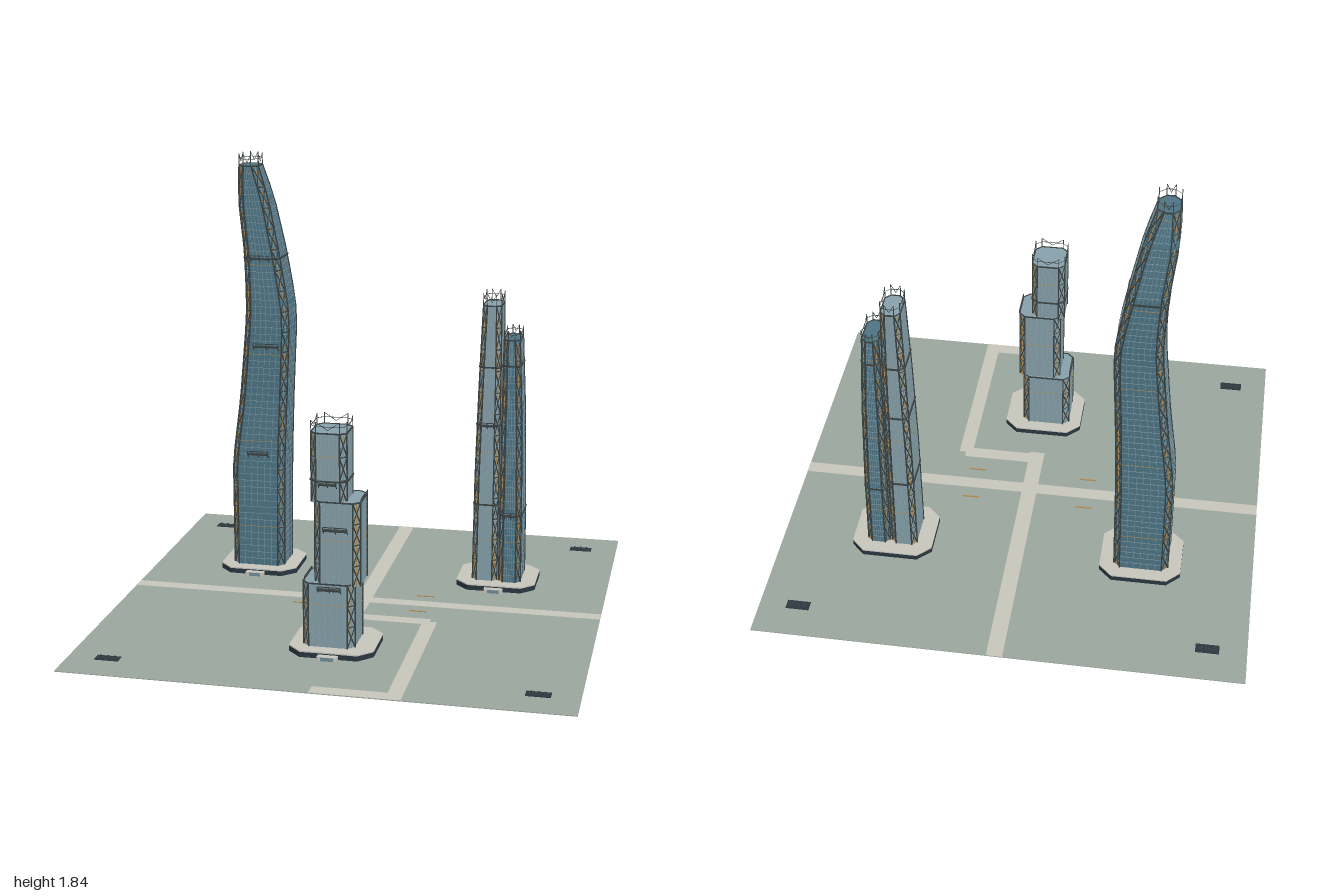
import * as THREE from 'three';
import { mergeGeometries } from 'three/addons/utils/BufferGeometryUtils.js';

const mat = (color, extra = {}) => new THREE.MeshStandardMaterial({ color, ...extra });
const M = {
  ground: mat(0x9aa59d), road: mat(0xc5c5ba), navy: mat(0x2a3640), stone: mat(0xc6c5bc),
  blue: mat(0x4d7384), pale: mat(0x86a0a9), line: mat(0x7f99a3), frame: mat(0x39403f),
  amber: mat(0xb08a50), glow: mat(0x6d8b99),
};
const V = (x, y, z) => new THREE.Vector3(x, y, z);

function add(parent, name, geometry, material) {
  const mesh = new THREE.Mesh(geometry, material);
  mesh.name = name;
  parent.add(mesh);
  return mesh;
}
const box = (x0, x1, y0, y1, z0, z1) =>
  new THREE.BoxGeometry(x1 - x0, y1 - y0, z1 - z0).translate((x0 + x1) / 2, (y0 + y1) / 2, (z0 + z1) / 2);

// Thin square bar between two points
function bar(a, b, t) {
  const d = b.clone().sub(a);
  const q = new THREE.Quaternion().setFromUnitVectors(V(0, 1, 0), d.clone().normalize());
  const mid = a.clone().add(b).multiplyScalar(0.5);
  return new THREE.BoxGeometry(t, d.length(), t).applyQuaternion(q).translate(mid.x, mid.y, mid.z);
}

// Chamfered rectangle, anticlockwise from above, starting at the front left
function ring(y, x0, x1, z0, z1, c) {
  return [[x0 + c, z1], [x1 - c, z1], [x1, z1 - c], [x1, z0 + c],
    [x1 - c, z0], [x0 + c, z0], [x0, z0 + c], [x0, z1 - c]].map(([x, z]) => V(x, y, z));
}

// Levels are [y, x0, x1, z0, z1]; interpolate the section at any height
function section(levels, y, c, grow = 0) {
  let i = 0;
  while (i < levels.length - 2 && y > levels[i + 1][0]) i++;
  const a = levels[i], b = levels[i + 1], k = (y - a[0]) / (b[0] - a[0]);
  const [, x0, x1, z0, z1] = a.map((v, j) => v + (b[j] - v) * k);
  return ring(y, x0 - grow, x1 + grow, z0 - grow, z1 + grow, c);
}

// Skin through a stack of rings, with a roof on the last
function loft(rings) {
  const p = [];
  const tri = (...vs) => vs.forEach((v) => p.push(v.x, v.y, v.z));
  for (let r = 0; r < rings.length - 1; r++) {
    for (let i = 0; i < 8; i++) {
      const j = (i + 1) % 8, a = rings[r], b = rings[r + 1];
      tri(a[i], a[j], b[j]);
      tri(a[i], b[j], b[i]);
    }
  }
  const top = rings[rings.length - 1];
  for (let i = 1; i < 7; i++) tri(top[0], top[i], top[i + 1]);
  const g = new THREE.BufferGeometry();
  g.setAttribute('position', new THREE.Float32BufferAttribute(p, 3));
  g.computeVertexNormals();
  return g;
}

function tower(parent, name, levels, o) {
  const g = new THREE.Group();
  g.name = name;
  parent.add(g);
  const c = o.chamfer, y0 = levels[0][0], y1 = levels[levels.length - 1][0];
  add(g, 'glassBody', loft(levels.map((l) => ring(...l, c))), o.glass);

  // Floor lines, with an amber one now and then
  const floors = [], amber = [];
  const n = Math.round((y1 - y0) / 0.03);
  for (let f = 1; f < n; f++) {
    const r = section(levels, y0 + (y1 - y0) * f / n, c, 0.0005);
    const list = f % 13 === 6 ? amber : floors;
    r.forEach((p, i) => list.push(bar(p, r[(i + 1) % 8], 0.0018)));
  }
  // Vertical mullions on the four broad faces, and edge posts with cross bracing on the corners
  const mullions = [], braces = [];
  const steps = Math.max(1, Math.round((y1 - y0) / 0.09));
  for (let s = 0; s < steps; s++) {
    const a = section(levels, y0 + (y1 - y0) * s / steps, c, 0.001);
    const b = section(levels, y0 + (y1 - y0) * (s + 1) / steps, c, 0.001);
    for (let i = 0; i < 8; i++) {
      const j = (i + 1) % 8;
      braces.push(bar(a[i], b[i], 0.005));
      if (i % 2) {
        braces.push(bar(a[i], b[j], 0.004), bar(a[j], b[i], 0.004), bar(b[i], b[j], 0.004));
        amber.push(bar(a[i].clone().lerp(a[j], 0.5), b[i].clone().lerp(b[j], 0.5), 0.003));
      } else {
        for (let m = 1; m < 6; m++) {
          mullions.push(bar(a[i].clone().lerp(a[j], m / 6), b[i].clone().lerp(b[j], m / 6), 0.0014));
        }
      }
    }
  }
  // Rim and open crown of posts and crossed stays
  const rim = section(levels, y1, c, 0.001);
  rim.forEach((p, i) => braces.push(bar(p, rim[(i + 1) % 8], 0.005)));
  const crown = [];
  if (o.crown) {
    rim.forEach((p, i) => {
      const q = rim[(i + 1) % 8], up = V(0, o.crown, 0);
      crown.push(bar(p, p.clone().add(up), 0.003));
      const rail = up.clone().multiplyScalar(0.6);
      crown.push(bar(p.clone().add(rail), q.clone().add(rail), 0.0018));
      if (i % 2 === 0) {
        const sag = p.clone().lerp(q, 0.5).add(V(0, o.crown * 0.3, 0));
        crown.push(bar(p.clone().add(up), sag, 0.0018), bar(q.clone().add(up), sag, 0.0018));
      }
    });
    add(g, 'roofCrown', mergeGeometries(crown), M.frame);
  }
  // Collar belts and front balconies
  (o.belts || []).forEach((y) => {
    const r = section(levels, y, c, 0.003);
    r.forEach((p, i) => braces.push(bar(p, r[(i + 1) % 8], 0.006)));
  });
  const decks = (o.decks || []).map(([y, a, b]) => {
    const z = section(levels, y, c)[0].z;
    for (const x of [a, (a + b) / 2, b]) {
      braces.push(bar(V(x, y, z + 0.018), V(x, y + 0.014, z + 0.018), 0.003));
      braces.push(bar(V(x, y - 0.015, z), V(x, y, z + 0.018), 0.003));
    }
    braces.push(bar(V(a, y + 0.014, z + 0.018), V(b, y + 0.014, z + 0.018), 0.003));
    return box(a, b, y - 0.003, y + 0.003, z - 0.005, z + 0.02);
  });
  if (decks.length) add(g, 'balconies', mergeGeometries(decks), M.frame);
  add(g, 'floorLines', mergeGeometries(floors), M.line);
  add(g, 'mullions', mergeGeometries(mullions), M.line);
  add(g, 'cornerBracing', mergeGeometries(braces), M.frame);
  add(g, 'amberTrim', mergeGeometries(amber), M.amber);
}

// Dark chamfered base with a pale paved top and an entrance step
function plinth(parent, x, z) {
  const g = new THREE.Group();
  g.name = 'plinth';
  g.position.set(x, 0, z);
  parent.add(g);
  const slab = (y0, y1) => loft([y0, y1].map((y) => ring(y, -0.17, 0.17, -0.15, 0.15, 0.055)));
  add(g, 'base', slab(0, 0.024), M.navy);
  add(g, 'paving', slab(0.024, 0.029), M.stone);
  add(g, 'entranceStep', box(-0.04, 0.04, 0, 0.02, 0.14, 0.175), M.stone);
  add(g, 'entranceDoor', box(-0.025, 0.025, 0.004, 0.018, 0.17, 0.177), M.glow);
}

export function createModel() {
  const model = new THREE.Group();
  model.name = 'towerPlaza';

  // Ground and paths
  add(model, 'ground', box(-1, 1, 0, 0.003, -1, 1), M.ground);
  add(model, 'paths', mergeGeometries([
    [-1, 1, -0.03, 0.03], [-0.033, 0.033, -1, -0.03], [-0.033, 0.033, 0.03, 0.24],
    [0.033, 0.32, 0.17, 0.23], [0.29, 0.35, 0.2, 1], [0, 0.29, 0.94, 1],
  ].map(([a, b, c, d]) => box(a, b, 0.002, 0.0045, c, d))), M.road);

  // Amber road dashes and the four corner pads with small units
  const dashes = [], pads = [], units = [], caps = [];
  for (const sx of [-1, 1]) {
    for (const sz of [-1, 1]) {
      dashes.push(box(sx * 0.25 - 0.036, sx * 0.25 + 0.036, 0.002, 0.006, sz * 0.09 - 0.003, sz * 0.09 + 0.003));
      const x = sx * 0.84, z = sz * 0.84;
      pads.push(box(x - 0.048, x + 0.048, 0.002, 0.006, z - 0.022, z + 0.022));
      for (const k of [-1, 0, 1]) {
        units.push(box(x + k * 0.028 - 0.008, x + k * 0.028 + 0.008, 0.006, 0.011, z - 0.008, z + 0.008));
        caps.push(box(x + k * 0.028 - 0.003, x + k * 0.028 + 0.003, 0.011, 0.016, z - 0.003, z + 0.003));
      }
    }
  }
  add(model, 'roadDashes', mergeGeometries(dashes), M.amber);
  add(model, 'cornerPads', mergeGeometries(pads), M.navy);
  add(model, 'padUnits', mergeGeometries(units), M.frame);
  add(model, 'padUnitCaps', mergeGeometries(caps), M.navy);

  plinth(model, -0.53, -0.36);
  plinth(model, 0, 0.52);
  plinth(model, 0.525, -0.36);

  // Tall bent tower
  tower(model, 'bentTower', [
    [0.029, -0.645, -0.42, -0.455, -0.265], [0.5, -0.645, -0.415, -0.455, -0.265],
    [0.78, -0.61, -0.405, -0.45, -0.275], [1.1, -0.58, -0.39, -0.45, -0.27],
    [1.2, -0.575, -0.395, -0.455, -0.272], [1.42, -0.585, -0.435, -0.46, -0.285],
    [1.65, -0.612, -0.482, -0.44, -0.297], [1.79, -0.608, -0.525, -0.415, -0.3],
  ], { chamfer: 0.026, glass: M.blue, crown: 0.05, belts: [1.4],
    decks: [[0.54, -0.57, -0.48], [1.02, -0.54, -0.43], [1.4, -0.55, -0.47]] });

  // Stepped tower of three shifted blocks
  const stepped = new THREE.Group();
  stepped.name = 'steppedTower';
  model.add(stepped);
  tower(stepped, 'lowerBlock', [[0.029, -0.115, 0.09, 0.425, 0.615], [0.29, -0.115, 0.09, 0.425, 0.615]],
    { chamfer: 0.026, glass: M.pale, decks: [[0.27, -0.05, 0.04]] });
  tower(stepped, 'middleBlock', [[0.28, -0.07, 0.11, 0.435, 0.605], [0.62, -0.07, 0.11, 0.435, 0.605]],
    { chamfer: 0.026, glass: M.pale, decks: [[0.51, -0.03, 0.065]] });
  tower(stepped, 'upperBlock', [[0.61, -0.085, 0.055, 0.445, 0.595], [0.89, -0.085, 0.055, 0.445, 0.595]],
    { chamfer: 0.024, glass: M.pale, crown: 0.045, belts: [0.7], decks: [[0.69, -0.05, 0.02]] });
  const terraceRails = [];
  for (const [xa, xb, y] of [[-0.113, -0.085, 0.29], [0.07, 0.113, 0.62]]) {
    for (const z of [0.46, 0.52, 0.58]) {
      const x = xa < 0 ? xa : xb;
      terraceRails.push(bar(V(x, y, z), V(x, y + 0.015, z), 0.003));
    }
    const x = xa < 0 ? xa : xb;
    terraceRails.push(bar(V(x, y + 0.014, 0.46), V(x, y + 0.014, 0.58), 0.003));
  }
  add(stepped, 'terraceRails', mergeGeometries(terraceRails), M.frame);

  // Pair of slim tapering towers
  const twin = new THREE.Group();
  twin.name = 'twinTower';
  model.add(twin);
  tower(twin, 'tallHalf', [[0.029, 0.422, 0.527, -0.45, -0.27], [0.5, 0.427, 0.527, -0.448, -0.275],
    [0.9, 0.437, 0.527, -0.443, -0.285], [1.23, 0.447, 0.523, -0.437, -0.305]],
  { chamfer: 0.02, glass: M.pale, crown: 0.05, belts: [0.37, 0.72, 0.97], decks: [[0.72, 0.45, 0.505]] });
  tower(twin, 'shortHalf', [[0.029, 0.537, 0.63, -0.45, -0.265], [0.35, 0.537, 0.628, -0.45, -0.268],
    [0.75, 0.537, 0.62, -0.443, -0.28], [1.09, 0.539, 0.605, -0.435, -0.292]],
  { chamfer: 0.02, glass: M.blue, crown: 0.04, belts: [0.33, 0.98], decks: [[0.33, 0.56, 0.61]] });

  return model;
}
